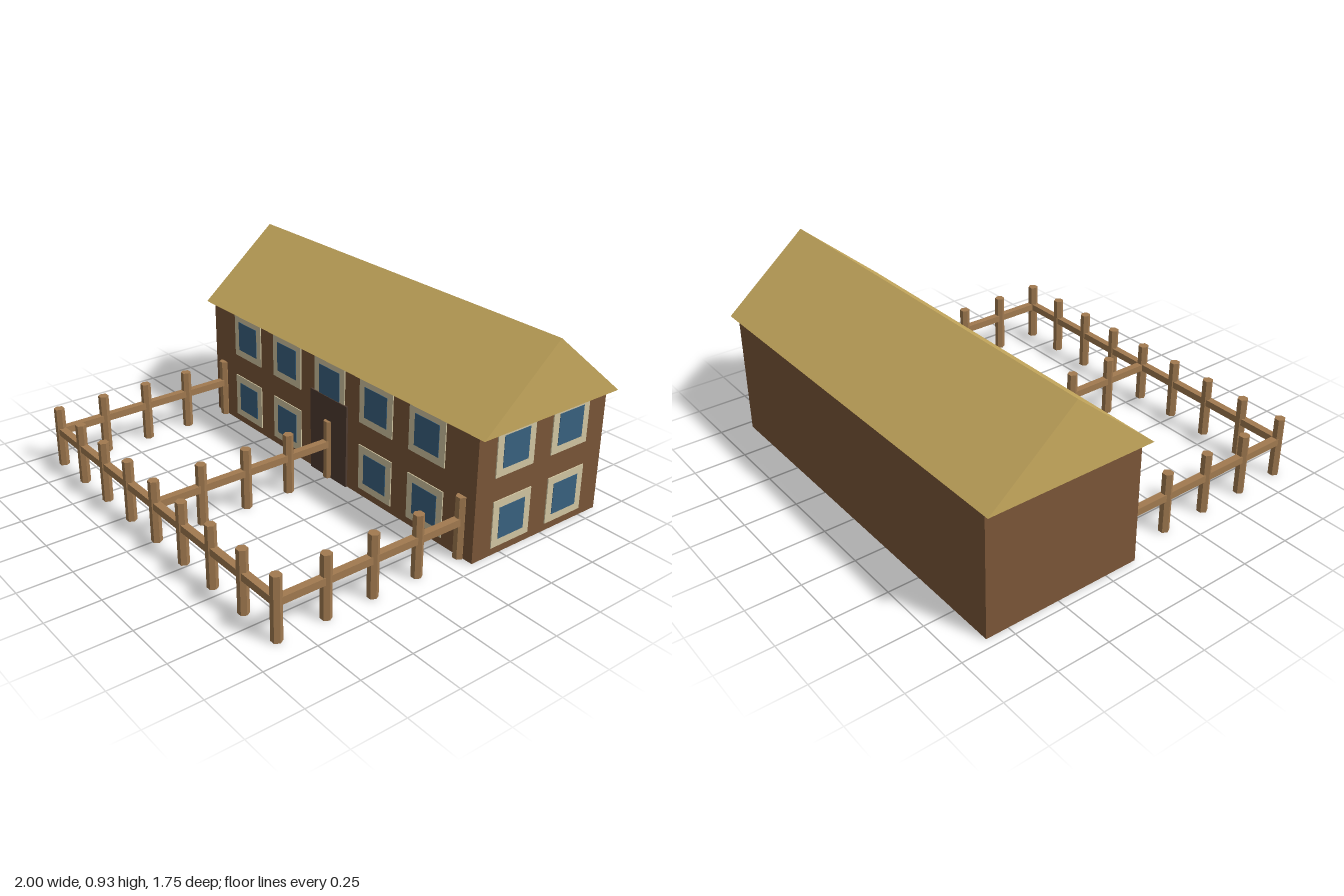
import * as THREE from 'three';

const material = (name, color, extra = {}) => {
  const m = new THREE.MeshStandardMaterial({ color, ...extra });
  m.name = name;
  return m;
};

export function createModel() {
  const model = new THREE.Group();
  model.name = 'farmhouse';

  const wall = material('wall brown', 0x7a5638);
  const thatch = material('thatch straw', 0xc8aa5e);
  const cream = material('frame cream', 0xd2c6a2);
  const glass = material('glass blue', 0x396180);
  const doorWood = material('door dark brown', 0x503c31);
  const fenceWood = material('fence wood', 0xa17a50, { flatShading: true });

  const add = (parent, name, geometry, mat, x, y, z) => {
    const mesh = new THREE.Mesh(geometry, mat);
    mesh.name = name;
    mesh.position.set(x, y, z);
    parent.add(mesh);
    return mesh;
  };
  const box = (parent, name, mat, w, h, d, x, y, z) =>
    add(parent, name, new THREE.BoxGeometry(w, h, d), mat, x, y, z);

  // House body
  const halfLength = 0.955, eaveY = 0.594, frontZ = -0.09, backZ = -0.855;
  const midZ = (frontZ + backZ) / 2;
  box(model, 'walls', wall, halfLength * 2, eaveY, frontZ - backZ, 0, eaveY / 2, midZ);

  // Gabled roof: triangular prism along x
  const gable = new THREE.Shape();
  gable.moveTo(-0.402, 0);
  gable.lineTo(0.402, 0);
  gable.lineTo(0, 0.338);
  gable.closePath();
  const roofGeometry = new THREE.ExtrudeGeometry(gable, { depth: 2, bevelEnabled: false });
  roofGeometry.translate(0, 0, -1).rotateY(Math.PI / 2);
  add(model, 'roof', roofGeometry, thatch, 0, eaveY, midZ);

  // Window: cream surround with a pane just proud of it
  const addWindow = (x, y, z, turn) => {
    const group = new THREE.Group();
    group.name = 'window';
    box(group, 'windowFrame', cream, 0.222, 0.222, 0.006, 0, 0, 0.002);
    box(group, 'windowPane', glass, 0.15, 0.15, 0.006, 0, 0, 0.004);
    group.position.set(x, y, z);
    group.rotation.y = turn;
    model.add(group);
  };
  for (const y of [0.148, 0.482]) {
    for (let i = -2; i <= 2; i++) {
      if (i === 0 && y < 0.3) continue; // the door stands here
      addWindow(i * 0.329, y, frontZ, 0);
    }
    for (const z of [-0.305, -0.634]) addWindow(halfLength, y, z, Math.PI / 2);
  }

  // Front door
  box(model, 'door', doorWood, 0.266, 0.413, 0.02, 0, 0.2065, frontZ);

  // Fence: front run, two sides and a middle divider
  const fence = new THREE.Group();
  fence.name = 'fence';
  model.add(fence);
  const fenceX = 0.88, fenceZ = 0.852, stepZ = 0.234, railY = 0.179, rail = 0.034;
  const postGeometry = new THREE.CylinderGeometry(0.025, 0.025, 0.295, 6).rotateY(Math.PI / 6);
  const post = (x, z) => add(fence, 'fencePost', postGeometry, fenceWood, x, 0.1475, z);

  for (let i = -4; i <= 4; i++) post(i * fenceX / 4, fenceZ);
  box(fence, 'frontRail', fenceWood, fenceX * 2, rail, rail, 0, railY, fenceZ);
  for (const x of [-fenceX, 0, fenceX]) {
    for (let i = 1; i <= 4; i++) post(x, fenceZ - i * stepZ);
    box(fence, 'sideRail', fenceWood, rail, rail, stepZ * 4, x, railY, fenceZ - stepZ * 2);
  }

  return model;
}
